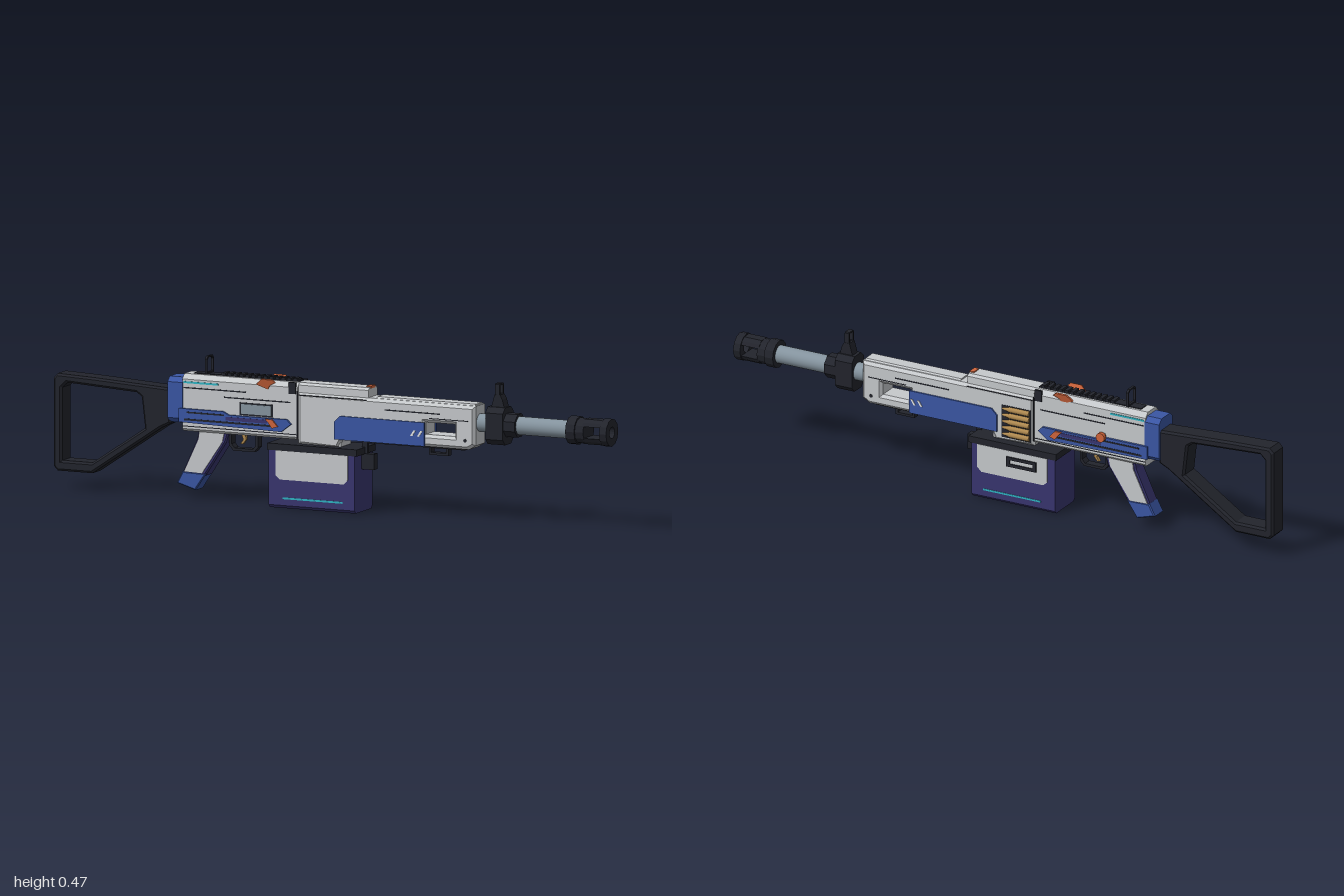
import * as THREE from 'three';

const mat = (name, color) => Object.assign(new THREE.MeshStandardMaterial({ color }), { name });
const M = {
  grey: mat('light grey shell', 0xc6c9cc),
  black: mat('black polymer', 0x22242c),
  blue: mat('blue panel', 0x3a56a4),
  purple: mat('deep purple', 0x38356e),
  steel: mat('barrel steel', 0x85949f),
  orange: mat('orange control', 0xd0653c),
  cyan: mat('cyan accent', 0x2fb4c4),
  brass: mat('brass', 0xb08a50),
  white: mat('white marking', 0xf2f4f5),
};

export function createModel() {
  const model = new THREE.Group();
  model.name = 'lightMachineGun';
  const gun = new THREE.Group();
  gun.name = 'gun';
  gun.position.z = 0.003;
  model.add(gun);

  const add = (name, geo, m, x = 0, y = 0, z = 0) => {
    const mesh = new THREE.Mesh(geo, m);
    mesh.name = name;
    mesh.position.set(x, y, z);
    gun.add(mesh);
    return mesh;
  };
  const box = (name, m, x0, x1, y0, y1, z0, z1) =>
    add(name, new THREE.BoxGeometry(x1 - x0, y1 - y0, z1 - z0), m, (x0 + x1) / 2, (y0 + y1) / 2, (z0 + z1) / 2);
  const both = f => [1, -1].forEach(f);
  const shapeOf = (pts, holes = []) => {
    const s = new THREE.Shape(pts.map(p => new THREE.Vector2(...p)));
    holes.forEach(h => s.holes.push(new THREE.Path(h.map(p => new THREE.Vector2(...p)))));
    return s;
  };
  // Side silhouette with an optional chamfer, from z0 to z1
  const slab = (name, m, pts, z0, z1, bevel = 0, holes = []) =>
    add(name, new THREE.ExtrudeGeometry(shapeOf(pts, holes), {
      depth: z1 - z0 - 2 * bevel, bevelEnabled: bevel > 0, bevelSize: bevel,
      bevelThickness: bevel, bevelOffset: -bevel, bevelSegments: 1,
    }), m, 0, 0, z0 + bevel);
  // Cross-section in (z, y), swept from x0 to x1
  const sweep = (name, m, pts, x0, x1, holes = []) => {
    const g = new THREE.ExtrudeGeometry(shapeOf(pts, holes), { depth: x1 - x0, bevelEnabled: false });
    return add(name, g.rotateY(Math.PI / 2), m, x0);
  };
  // Thin painted plate on one side
  const plate = (name, m, pts, s, z, t = 0.004) => slab(name, m, pts, s > 0 ? z : -z - t, s > 0 ? z + t : -z);
  const rect = (x0, x1, y0, y1) => [[x0, y0], [x1, y0], [x1, y1], [x0, y1]];
  const cut = (w, y0, y1, c, d = c) => [[-w + d, y0], [w - d, y0], [w, y0 + d], [w, y1 - c], [w - c, y1], [-w + c, y1], [-w, y1 - c], [-w, y0 + d]];
  const ring = (r, n, cy, start = 0) => Array.from({ length: n }, (_, i) => {
    const a = start + (i / n) * Math.PI * 2;
    return [r * Math.cos(a), cy + r * Math.sin(a)];
  });
  const rod = (name, m, r, x0, x1, y, z, n = 20) =>
    add(name, new THREE.CylinderGeometry(r, r, x1 - x0, n).rotateZ(-Math.PI / 2), m, (x0 + x1) / 2, y, z);

  // Skeleton stock
  slab('stock', M.black,
    [[-1, 0.075], [-0.985, 0.06], [-0.86, 0.06], [-0.61, 0.228], [-0.575, 0.245], [-0.575, 0.36], [-0.85, 0.375], [-0.985, 0.38], [-1, 0.365]],
    -0.037, 0.037, 0.007,
    [[[-0.968, 0.095], [-0.86, 0.095], [-0.67, 0.222], [-0.682, 0.325], [-0.7, 0.338], [-0.95, 0.352], [-0.968, 0.335]]]);
  sweep('stockCollar', M.blue, cut(0.045, 0.25, 0.4, 0.016), -0.582, -0.528);

  // Rear receiver
  sweep('rearReceiver', M.grey, cut(0.0425, 0.225, 0.412, 0.016, 0.008), -0.53, -0.115);
  both(s => {
    plate('lowerPanel', M.blue, [[-0.54, 0.255], [-0.17, 0.248], [-0.135, 0.275], [-0.15, 0.29], [-0.36, 0.29], [-0.38, 0.3], [-0.54, 0.3]], s, 0.042, 0.009);
    plate('panelShadowLine', M.black, rect(-0.52, -0.19, 0.262, 0.268), s, 0.0505, 0.002);
    plate('panelTopLine', M.black, rect(-0.51, -0.375, 0.286, 0.291), s, 0.0505, 0.002);
    plate('panelInlay', M.purple, rect(-0.37, -0.22, 0.272, 0.284), s, 0.0505, 0.002);
    plate('cyanStripe', M.cyan, rect(-0.525, -0.4, 0.383, 0.389), s, 0.0425, 0.002);
    plate('upperGroove', M.black, rect(-0.525, -0.3, 0.366, 0.37), s, 0.0425, 0.001);
    plate('lowerGroove', M.black, rect(-0.38, -0.14, 0.344, 0.348), s, 0.0425, 0.001);
    plate('lowerSeam', M.black, rect(-0.53, -0.115, 0.24, 0.243), s, 0.0425, 0.001);
    plate('latchBlock', M.black, rect(-0.145, -0.12, 0.375, 0.413), s, 0.038, 0.008);
    // Winged selector levers
    const lever = slab('topLever', M.orange, [[-0.26, 0], [-0.24, 0.02], [-0.2, 0.02], [-0.19, 0.01], [-0.21, 0], [-0.22, -0.015]], -0.003, 0.003);
    lever.position.set(0, 0.4, s * 0.045);
    lever.rotation.x = s * 0.3;
    plate('safetyLever', M.orange, [[-0.215, 0.277], [-0.2, 0.258], [-0.18, 0.265], [-0.2, 0.287], [-0.225, 0.287]], s, 0.05, 0.007);
  });
  plate('ejectionPortFrame', M.black, rect(-0.323, -0.202, 0.292, 0.334), 1, 0.0425, 0.001);
  plate('ejectionPort', M.steel, rect(-0.317, -0.208, 0.297, 0.329), 1, 0.0425, 0.003);
  rod('chargingKnobStem', M.steel, 0.007, -0.382, -0.368, 0.305, -0.045, 10);
  add('chargingKnobNeck', new THREE.CylinderGeometry(0.008, 0.008, 0.025, 12).rotateX(Math.PI / 2), M.orange, -0.375, 0.305, -0.05);
  add('chargingKnob', new THREE.CylinderGeometry(0.016, 0.016, 0.013, 12).rotateX(Math.PI / 2), M.orange, -0.375, 0.305, -0.062);

  // Rail and rear sight
  box('railBase', M.black, -0.5, -0.12, 0.408, 0.415, -0.018, 0.018);
  for (let i = 0; i < 13; i++) {
    const x = -0.4 + i * 0.0215;
    box('railTooth', M.black, x, x + 0.013, 0.413, 0.422, -0.018, 0.018);
  }
  sweep('rearSight', M.black, cut(0.026, 0.413, 0.473, 0.009, 0.002), -0.457, -0.449, [cut(0.021, 0.42, 0.468, 0.007, 0.001)]);

  // Middle receiver and handguard
  slab('handguard', M.grey,
    [[-0.115, 0.21], [0.03, 0.205], [0.045, 0.235], [0.5, 0.235], [0.525, 0.25], [0.525, 0.38], [-0.115, 0.38]],
    -0.0425, 0.0425, 0.01, [rect(0.345, 0.45, 0.275, 0.315)]);
  sweep('feedCover', M.grey, cut(0.033, 0.37, 0.412, 0.008, 0.001), -0.115, 0.137);
  sweep('handguardRidge', M.grey, cut(0.028, 0.37, 0.385, 0.005, 0.001), 0.165, 0.52);
  box('coverCatch', M.orange, 0.122, 0.138, 0.408, 0.416, -0.016, 0.016);
  box('undersideRail', M.black, 0.13, 0.48, 0.23, 0.236, -0.025, 0.025);
  both(s => {
    plate('handguardPanel', M.blue, [[0.02, 0.237], [0.345, 0.237], [0.345, 0.315], [0.04, 0.315], [0.02, 0.295]], s, 0.041, 0.007);
    [0.295, 0.32].forEach(x => plate('whiteSlash', M.white, [[x, 0.268], [x + 0.008, 0.268], [x + 0.02, 0.287], [x + 0.012, 0.287]], s, 0.048, 0.002));
    plate('handguardSlot', M.black, rect(0.2, 0.4, 0.344, 0.348), s, 0.0425, 0.001);
    plate('ventSlot', M.black, rect(0.36, 0.5, 0.328, 0.331), s, 0.0425, 0.001);
    plate('receiverSeam', M.black, rect(-0.117, -0.113, 0.23, 0.385), s, 0.0425, 0.001);
    plate('coverSeam', M.black, rect(-0.11, 0.135, 0.371, 0.374), s, 0.0425, 0.001);
    plate('handguardPin', M.black, ring(0.006, 8, 0.265).map(([x, y]) => [x + 0.49, y]), s, 0.0425, 0.001);
  });
  slab('slingLoop', M.black, rect(0.345, 0.415, 0.205, 0.24), -0.012, 0.012, 0, [rect(0.353, 0.407, 0.213, 0.232)]);

  // Ammunition belt on the far side
  box('feedOpening', M.black, -0.105, 0.005, 0.222, 0.335, -0.044, -0.04);
  for (let i = 0; i < 5; i++) {
    const y = 0.235 + i * 0.022;
    rod('cartridge', M.brass, 0.0095, -0.1, -0.025, y, -0.044, 10);
    add('bulletTip', new THREE.CylinderGeometry(0.003, 0.008, 0.025, 10).rotateZ(-Math.PI / 2), M.brass, -0.0125, y, -0.044);
  }

  // Barrel, gas block and front sight
  rod('barrel', M.steel, 0.03, 0.5, 0.87, 0.322, 0, 24);
  sweep('gasBlock', M.black, cut(0.04, 0.257, 0.38, 0.018), 0.562, 0.625);
  sweep('gasBlockCollar', M.black, ring(0.041, 8, 0.322, Math.PI / 8), 0.62, 0.667);
  slab('frontSightBase', M.black, [[0.57, 0.37], [0.622, 0.37], [0.612, 0.405], [0.604, 0.42], [0.584, 0.42], [0.58, 0.405]], -0.017, 0.017);
  sweep('frontSightHood', M.black, cut(0.016, 0.41, 0.457, 0.003), 0.586, 0.602, [cut(0.011, 0.42, 0.452, 0.002)]);
  add('frontSightPin', new THREE.CylinderGeometry(0.001, 0.004, 0.025, 8), M.black, 0.594, 0.43, 0);

  // Muzzle brake with a slot through both sides
  const bore = [ring(0.019, 16, 0.322)];
  sweep('muzzleSleeve', M.black, ring(0.047, 12, 0.322), 0.853, 0.885);
  sweep('muzzleBody', M.black, ring(0.042, 12, 0.322), 0.88, 0.915);
  sweep('muzzleCrown', M.black, ring(0.046, 12, 0.322), 0.975, 1, bore);
  both(s => sweep('muzzleBar', M.black,
    [[-0.037, 0.019], [0.037, 0.019], [0.03, 0.031], [0.016, 0.041], [-0.016, 0.041], [-0.03, 0.031]].map(([z, y]) => [z, 0.322 + s * y]), 0.91, 0.978));

  // Ammunition box
  sweep('ammoBox', M.purple, cut(0.067, 0, 0.195, 0.002, 0.01), -0.207, 0.103);
  box('ammoBoxLid', M.black, -0.212, 0.112, 0.19, 0.212, -0.069, 0.069);
  box('ammoBoxNeck', M.grey, -0.1, 0.04, 0.205, 0.225, -0.036, 0.036);
  box('ammoBoxClip', M.black, 0.1, 0.147, 0.14, 0.192, -0.014, 0.014);
  box('clipPost', M.black, 0.1, 0.12, 0.19, 0.235, -0.006, 0.006);
  both(s => {
    plate('ammoBoxPanel', M.grey, [[-0.18, 0.108], [-0.165, 0.095], [0.065, 0.095], [0.08, 0.11], [0.08, 0.19], [-0.18, 0.19]], s, 0.066);
    plate('ammoBoxStripe', M.cyan, rect(-0.155, 0.06, 0.031, 0.037), s, 0.0665, 0.002);
  });
  slab('boxHandle', M.black, rect(-0.14, -0.03, 0.136, 0.17), -0.075, -0.068, 0, [rect(-0.128, -0.042, 0.146, 0.16)]);

  // Pistol grip
  slab('gripCore', M.purple, [[-0.538, 0.085], [-0.455, 0.08], [-0.38, 0.195], [-0.37, 0.23], [-0.48, 0.23], [-0.485, 0.2]], -0.028, 0.028, 0.005);
  slab('gripCap', M.blue, [[-0.557, 0.05], [-0.49, 0.03], [-0.452, 0.087], [-0.536, 0.09]], -0.03, 0.03, 0.004);
  both(s => plate('gripPanel', M.grey, [[-0.53, 0.09], [-0.465, 0.088], [-0.392, 0.195], [-0.385, 0.226], [-0.475, 0.226], [-0.478, 0.2]], s, 0.027));

  // Trigger and guard
  slab('triggerGuard', M.black, [[-0.375, 0.185], [-0.36, 0.168], [-0.285, 0.168], [-0.27, 0.185], [-0.27, 0.23], [-0.375, 0.23]], -0.014, 0.014, 0,
    [[[-0.366, 0.19], [-0.355, 0.177], [-0.29, 0.177], [-0.279, 0.19], [-0.279, 0.223], [-0.366, 0.223]]]);
  slab('trigger', M.brass, [[-0.335, 0.226], [-0.328, 0.205], [-0.338, 0.19], [-0.33, 0.19], [-0.318, 0.205], [-0.32, 0.226]], -0.006, 0.006);
  return model;
}
